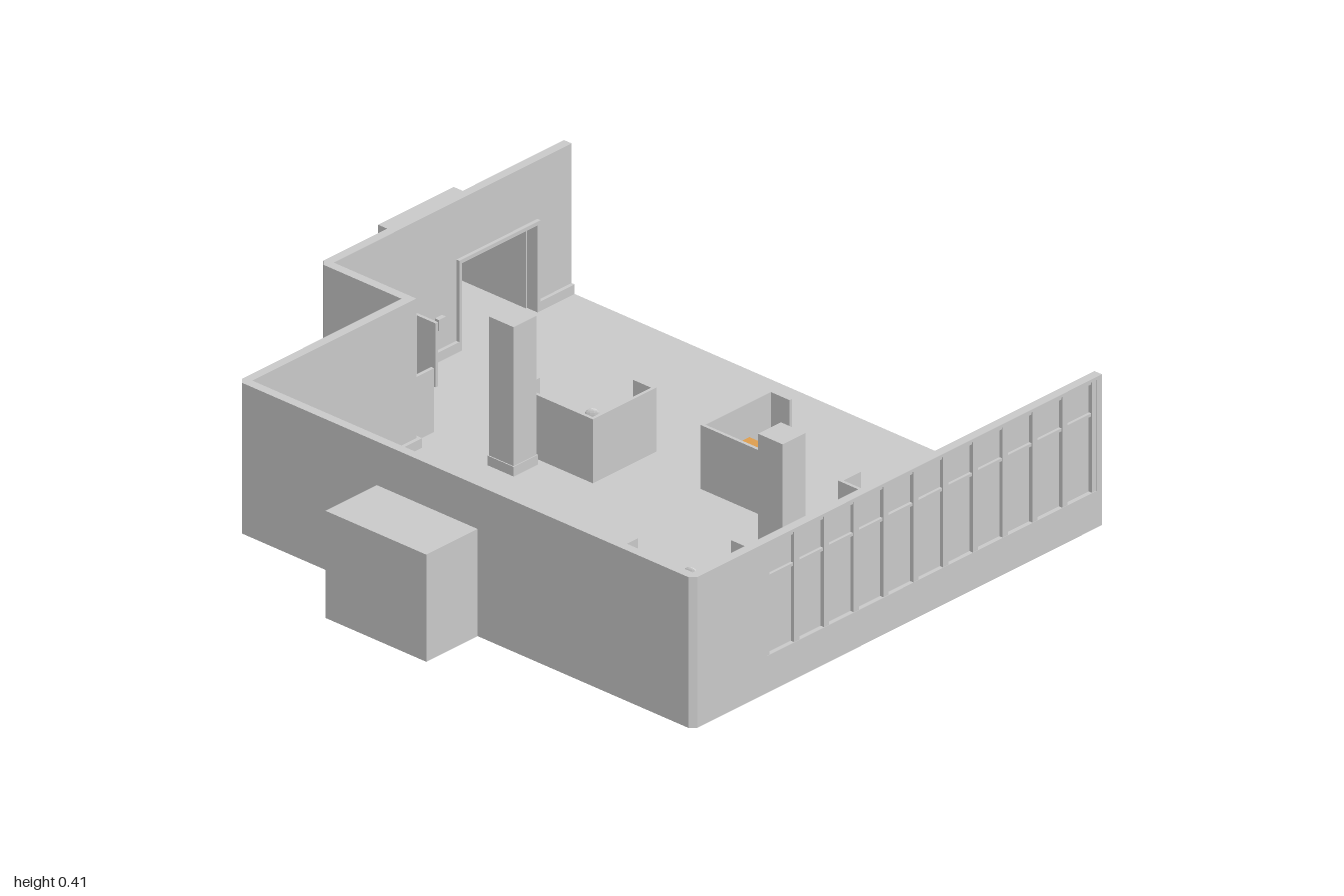
import * as THREE from 'three';

const grey = new THREE.MeshStandardMaterial({ color: 0xcccccc, flatShading: true });
const wood = new THREE.MeshStandardMaterial({ color: 0xe0a050, flatShading: true });

function add(parent, name, geo, mat = grey) {
  const m = new THREE.Mesh(geo, mat);
  m.name = name;
  parent.add(m);
  return m;
}

// Box given by its limits on each axis
function block(parent, name, x0, x1, y0, y1, z0, z1, mat) {
  const m = add(parent, name, new THREE.BoxGeometry(x1 - x0, y1 - y0, z1 - z0), mat);
  m.position.set((x0 + x1) / 2, (y0 + y1) / 2, (z0 + z1) / 2);
  return m;
}

// Footprint of [x, z] points raised from y0 to y1
function raise(parent, name, pts, y0, y1, mat) {
  const shape = new THREE.Shape(pts.map(([x, z]) => new THREE.Vector2(x, -z)));
  const geo = new THREE.ExtrudeGeometry(shape, { depth: y1 - y0, bevelEnabled: false });
  geo.rotateX(-Math.PI / 2).translate(0, y0, 0);
  return add(parent, name, geo, mat);
}

const H = 0.408;
const C = 0.015; // outer corner chamfer

function walls(root) {
  const g = new THREE.Group();
  g.name = 'walls';
  root.add(g);
  // Front left corner, up to the side doorway
  raise(g, 'frontLeftWall', [[-0.37, 1], [-0.63 + C, 1], [-0.63, 1 - C], [-0.63, 0.22],
    [-0.605, 0.22], [-0.605, 0.975], [-0.37, 0.975]], 0, H);
  // Side doorway to back doorway, around the notch
  raise(g, 'backLeftWall', [[-0.63, 0.04], [-0.63, -0.49 + C], [-0.63 + C, -0.49], [-0.055, -0.49],
    [-0.055, -0.76 + C], [-0.055 + C, -0.76], [0.41, -0.76], [0.41, -0.735], [-0.03, -0.735],
    [-0.03, -0.465], [-0.605, -0.465], [-0.605, 0.04]], 0, H);
  block(g, 'backRightWall', 0.675, 0.805, 0, H, -0.76, -0.735);
  block(g, 'backLintel', 0.41, 0.675, 0.24, H, -0.76, -0.735);
  block(g, 'sideLintel', -0.63, -0.605, 0.26, H, 0.04, 0.22);
  // Front wall around the window band
  block(g, 'windowSillWall', -0.37, 0.805, 0, 0.1, 0.975, 1);
  block(g, 'windowHeadWall', -0.37, 0.805, 0.4, H, 0.975, 1);
  block(g, 'windowEndWall', 0.785, 0.805, 0.1, 0.4, 0.975, 1);

  // Skirting boards
  const skirt = [[-0.605, 0.805, 0.965, 0.975], [-0.605, -0.595, 0.23, 0.965],
    [-0.605, -0.595, -0.465, 0.03], [-0.595, -0.03, -0.465, -0.455],
    [-0.03, -0.02, -0.735, -0.455], [-0.02, 0.4, -0.735, -0.725], [0.685, 0.805, -0.735, -0.725]];
  for (const [x0, x1, z0, z1] of skirt) block(g, 'skirting', x0, x1, 0, 0.03, z0, z1);

  // Door casings
  for (const z of [0.03, 0.22]) block(g, 'sideDoorJamb', -0.605, -0.593, 0, 0.268, z, z + 0.01);
  block(g, 'sideDoorHead', -0.605, -0.593, 0.258, 0.268, 0.04, 0.22);
  for (const x of [0.4, 0.675]) block(g, 'backDoorJamb', x, x + 0.01, 0, 0.25, -0.735, -0.725);
  block(g, 'backDoorHead', 0.41, 0.675, 0.24, 0.25, -0.735, -0.725);
  // Small wall fitting
  block(g, 'wallFitting', 0.325, 0.35, 0.09, 0.12, -0.735, -0.722);
}

function windows(root) {
  const g = new THREE.Group();
  g.name = 'windows';
  root.add(g);
  block(g, 'glass', -0.37, 0.785, 0.1, 0.4, 0.984, 0.988);
  const n = 11, step = 1.15 / n;
  for (let i = 0; i <= n; i++) {
    const x = -0.37 + i * step;
    block(g, 'mullion', x - 0.009, x + 0.009, 0.1, 0.4, 0.973, 0.999);
    if (i < n) {
      block(g, 'transom', x + 0.009, x + step - 0.009, 0.306, 0.314, 0.976, 0.996);
      block(g, 'topRail', x + 0.009, x + step - 0.009, 0.392, 0.4, 0.976, 0.996);
    }
  }
}

// Hollow lobbies behind the two doorways
function lobbies(root) {
  const t = 0.004;
  const side = new THREE.Group();
  side.name = 'sideLobby';
  root.add(side);
  block(side, 'lobbyEnd', -0.81, -0.81 + t, 0, 0.29, -0.035, 0.295);
  block(side, 'lobbyRoof', -0.81 + t, -0.63, 0.29 - t, 0.29, -0.035, 0.295);
  for (const z of [-0.035, 0.295 - t]) block(side, 'lobbyWall', -0.81 + t, -0.63, 0, 0.29 - t, z, z + t);
  const back = new THREE.Group();
  back.name = 'backLobby';
  root.add(back);
  block(back, 'lobbyEnd', 0.41, 0.675, 0, 0.245, -1, -1 + t);
  block(back, 'lobbyRoof', 0.41, 0.675, 0.245 - t, 0.245, -1 + t, -0.76);
  for (const x of [0.41, 0.675 - t]) block(back, 'lobbyWall', x, x + t, 0, 0.245 - t, -1 + t, -0.76);
}

// Swivel chair, backrest towards +z
function chair() {
  const g = new THREE.Group();
  g.name = 'chair';
  for (let i = 0; i < 5; i++) {
    const arm = new THREE.Group();
    arm.name = 'chairFoot';
    arm.rotation.y = (i * Math.PI * 2) / 5;
    block(arm, 'footSpoke', 0, 0.024, 0.008, 0.013, -0.002, 0.002);
    add(arm, 'caster', new THREE.SphereGeometry(0.004, 6, 4)).position.set(0.024, 0.006, 0);
    g.add(arm);
  }
  add(g, 'chairPost', new THREE.CylinderGeometry(0.003, 0.003, 0.042, 8)).position.y = 0.031;
  add(g, 'chairSeat', new THREE.CylinderGeometry(0.02, 0.018, 0.008, 12)).position.y = 0.055;
  block(g, 'backStem', -0.002, 0.002, 0.052, 0.09, 0.018, 0.022);
  const rest = add(g, 'backrest', new THREE.SphereGeometry(0.018, 10, 8));
  rest.scale.set(1, 0.95, 0.28);
  rest.position.set(0, 0.095, 0.021);
  for (const s of [-1, 1]) {
    block(g, 'armPost', s * 0.021 - 0.0015, s * 0.021 + 0.0015, 0.053, 0.079, -0.002, 0.002);
    block(g, 'armrest', s * 0.021 - 0.003, s * 0.021 + 0.003, 0.078, 0.082, -0.012, 0.016);
  }
  return g;
}

// Screened corner desk: long side along +x, short side along +z
function workstation() {
  const g = new THREE.Group();
  g.name = 'workstation';
  const t = 0.009;
  raise(g, 'screen', [[0, 0], [0.247, 0], [0.247, 0.07], [0.247 - t, 0.07], [0.247 - t, t], [t, t],
    [t, 0.223 - t], [0.068, 0.223 - t], [0.068, 0.223], [0, 0.223]], 0.003, 0.177);
  raise(g, 'deskTop', [[t, t], [0.163, t], [0.163, 0.07], [0.068, 0.07],
    [0.068, 0.223 - t], [t, 0.223 - t]], 0.074, 0.084, wood);
  block(g, 'deskEndPanel', 0.155, 0.163, 0.003, 0.074, t, 0.07, wood);
  block(g, 'deskSidePanel', t, 0.066, 0.003, 0.074, 0.206, 0.223 - t, wood);
  return g;
}

export function createModel() {
  const root = new THREE.Group();
  root.name = 'openPlanOffice';

  raise(root, 'floor', [[0.805, 1], [-0.63 + C, 1], [-0.63, 1 - C], [-0.63, 0.295], [-0.81, 0.295],
    [-0.81, -0.035], [-0.63, -0.035], [-0.63, -0.49 + C], [-0.63 + C, -0.49], [-0.055, -0.49],
    [-0.055, -0.76 + C], [-0.055 + C, -0.76], [0.41, -0.76], [0.41, -1], [0.675, -1],
    [0.675, -0.76], [0.805, -0.76]], 0, 0.004);
  walls(root);
  windows(root);
  lobbies(root);

  // Columns with a small plinth
  for (const z of [-0.237, 0.643]) {
    block(root, 'column', 0.024, 0.104, 0, H - 0.002, z - 0.04, z + 0.04);
    block(root, 'columnPlinth', 0.021, 0.107, 0, 0.03, z - 0.043, z + 0.043);
  }

  // Corner x, z, quarter turns, chair x, z, chair turn
  const desks = [[-0.01, -0.712, 0, 0.09, -0.602, 0], [0.125, -0.032, 1, 0.238, -0.14, 2.3],
    [0.28, 0.175, 0, 0.37, 0.318, 1.57], [-0.316, 0.7, 1, -0.2, 0.582, 2],
    [-0.148, 0.945, 2, -0.293, 0.828, -2.3], [0.296, 0.858, 1, 0.428, 0.763, 3]];
  for (const [x, z, turn, cx, cz, ct] of desks) {
    const d = workstation();
    d.position.set(x, 0, z);
    d.rotation.y = (turn * Math.PI) / 2;
    const c = chair();
    c.position.set(cx, 0.002, cz);
    c.rotation.y = ct;
    root.add(d, c);
  }
  return root;
}
